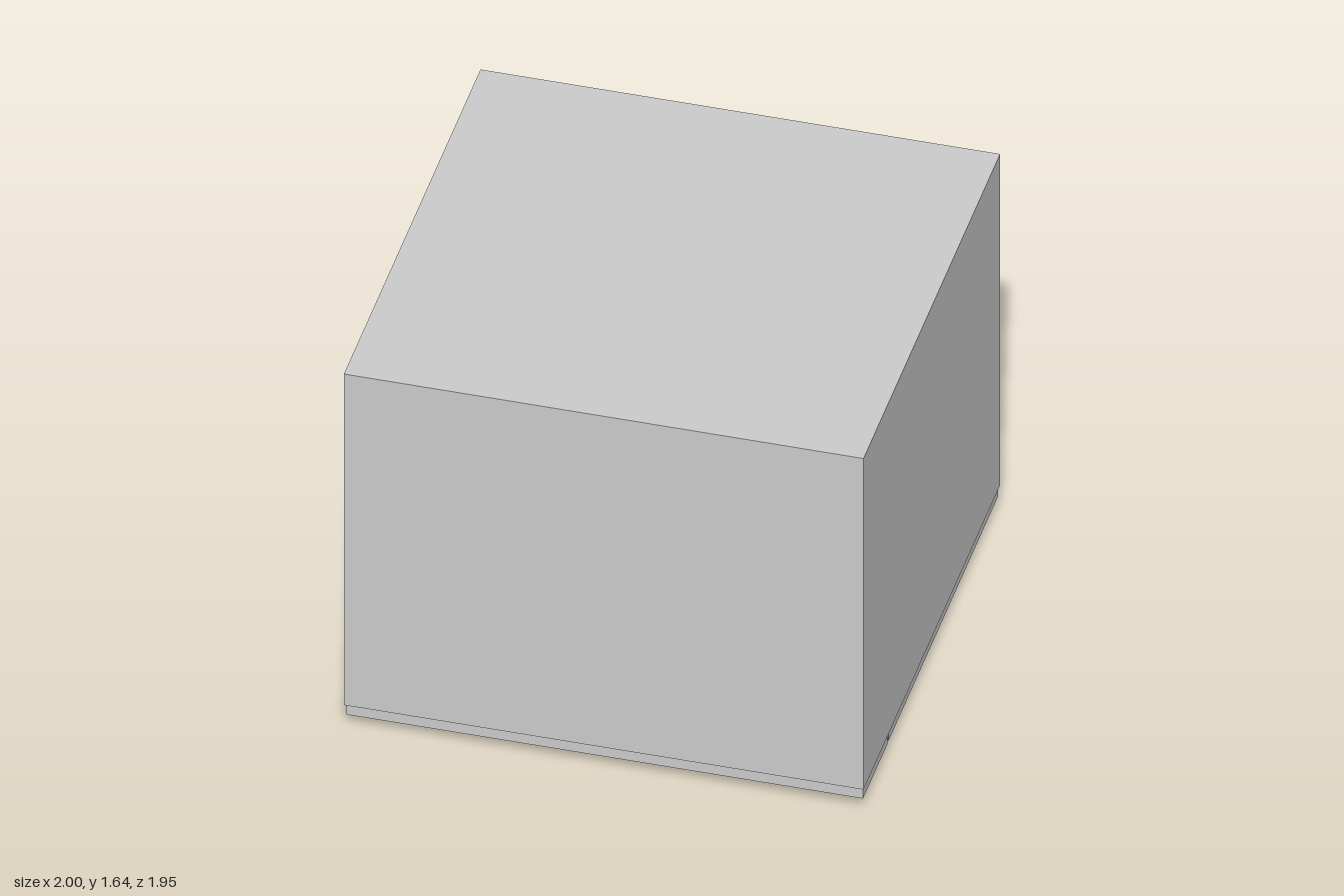
import * as THREE from 'three';

// Built-in oven lying on its face: the door points down (-y), its upper edge is towards +z.
export function createModel() {
  const oven = new THREE.Group();
  oven.name = 'oven';
  const grey = new THREE.MeshStandardMaterial({ color: 0xcccccc });

  const add = (name, geometry, x, y, z) => {
    const mesh = new THREE.Mesh(geometry, grey);
    mesh.name = name;
    mesh.position.set(x, y, z);
    oven.add(mesh);
    return mesh;
  };
  // Box given by its limits on each axis
  const slab = (name, x0, x1, y0, y1, z0, z1) =>
    add(name, new THREE.BoxGeometry(x1 - x0, y1 - y0, z1 - z0),
      (x0 + x1) / 2, (y0 + y1) / 2, (z0 + z1) / 2);

  // Housing, door and control panel
  slab('housing', -1, 1, 0.104, 1.645, -0.973, 0.973);
  slab('door', -0.994, 0.994, 0.055, 0.104, -0.968, 0.597);
  slab('controlPanel', -0.994, 0.994, 0.051, 0.104, 0.61, 0.959);

  // Stepped door window
  slab('windowFrame', -0.85, 0.85, 0.051, 0.055, -0.81, 0.33);
  slab('windowGlass', -0.72, 0.72, 0.047, 0.051, -0.685, 0.125);

  // Rack lines in the window
  for (const z of [-0.49, -0.285, -0.08]) {
    slab('rackLine', -0.6, 0.6, 0.045, 0.047, z - 0.004, z + 0.004);
  }

  // Display with its inner strip
  slab('display', -0.285, 0.285, 0.047, 0.051, 0.74, 0.862);
  slab('displayStrip', -0.22, 0.22, 0.045, 0.047, 0.785, 0.817);

  // Touch buttons beside the display
  for (const x of [-0.39, -0.535, -0.68]) {
    add('button', new THREE.CylinderGeometry(0.016, 0.016, 0.004, 20), x, 0.049, 0.8);
  }

  // Handle bar on two posts
  const bar = add('handleBar', new THREE.CylinderGeometry(0.012, 0.012, 1.52, 20), 0, 0.012, 0.46);
  bar.rotation.z = Math.PI / 2;
  for (const side of [-1, 1]) {
    add('handlePost', new THREE.CylinderGeometry(0.006, 0.006, 0.045, 12), side * 0.74, 0.0345, 0.46);
  }
  return oven;
}
